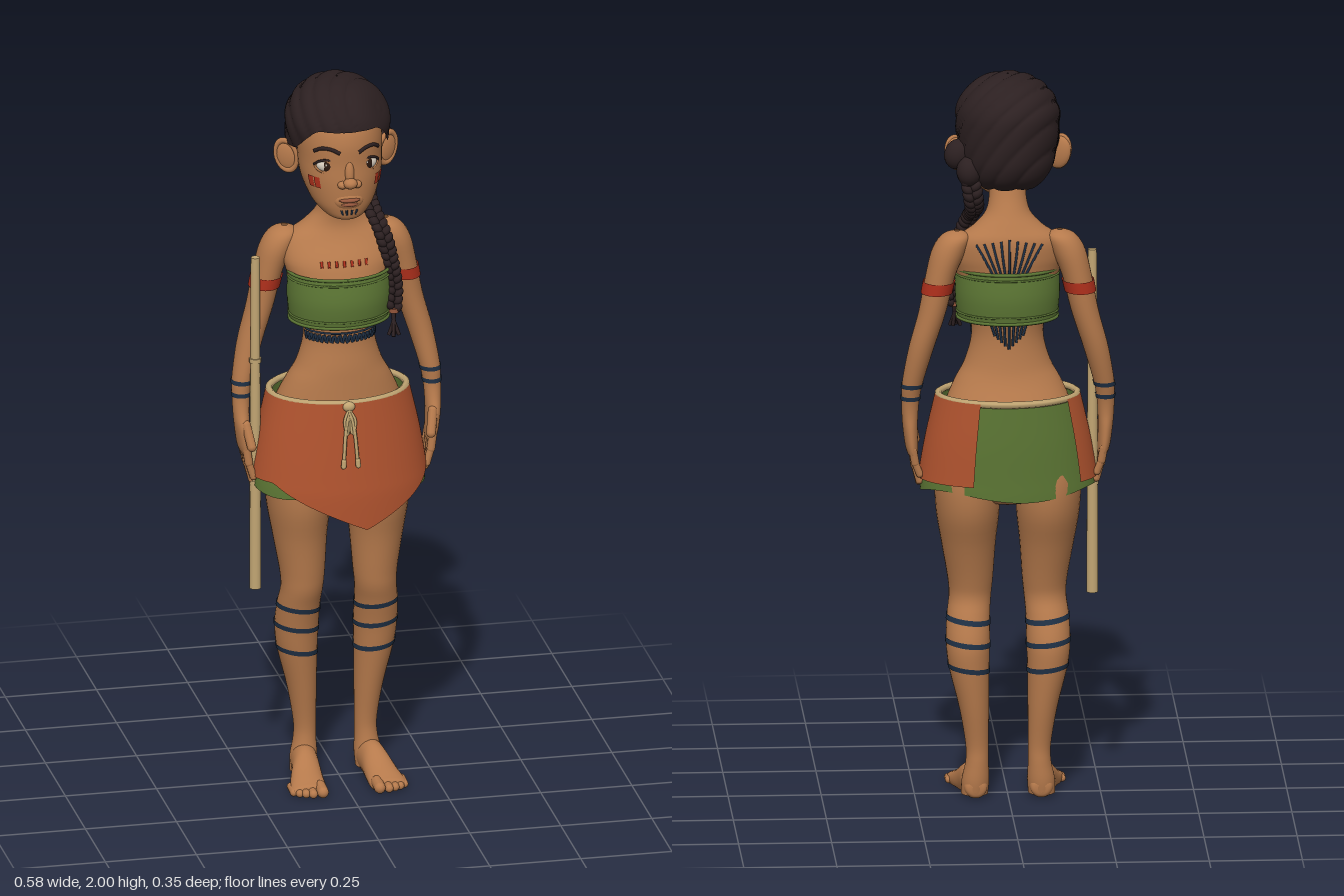
import * as THREE from 'three';

const mat = (name, color, side = THREE.DoubleSide) => {
  const m = new THREE.MeshStandardMaterial({ color, side });
  m.name = name;
  return m;
};
const M = {
  skin: mat('skin', 0xb67a4c), hair: mat('hair', 0x2c2021), skirt: mat('terracotta cloth', 0xb2542f),
  green: mat('green cloth', 0x5c7634), rope: mat('rope and wood', 0xc2a673), red: mat('red paint', 0xb0301c),
  blue: mat('blue ink', 0x1f3045), white: mat('eye white', 0xd9cfc0), lip: mat('lips', 0x94563c), iris: mat('iris', 0x2a1810),
};
const V = (x, y, z) => new THREE.Vector3(x, y, z);
const smooth = (a, b, x) => THREE.MathUtils.smoothstep(x, a, b);

// A body is a stack of ellipses [y, centreX, centreZ, radiusX, radiusZ], bottom to top.
function at(sec, u) {
  const n = sec.length - 1, i = Math.min(Math.floor(u), n - 1), t = u - i;
  const g = k => sec[Math.max(0, Math.min(n, k))];
  const [a, b, c, d] = [g(i - 1), g(i), g(i + 1), g(i + 2)];
  return b.map((p, k) => {
    const m0 = (c[k] - a[k]) / 2, m1 = (d[k] - p) / 2, e = c[k] - p;
    return p + t * (m0 + t * (3 * e - 2 * m0 - m1 + t * (m0 + m1 - 2 * e)));
  });
}
function find(sec, y) {
  let lo = 0, hi = sec.length - 1;
  for (let i = 0; i < 30; i++) {
    const m = (lo + hi) / 2;
    if (at(sec, m)[0] < y) lo = m; else hi = m;
  }
  return (lo + hi) / 2;
}
function pointU(sec, a, u, off) {
  const [y, cx, cz, rx, rz] = at(sec, u);
  return V(cx + (Math.max(rx, 0) + off) * Math.sin(a), y, cz + (Math.max(rz, 0) + off) * Math.cos(a));
}
const point = (sec, a, y, off = 0) => pointU(sec, a, find(sec, y), off);

// Skin of a body between angles a0..a1 (0 = front, + = left) and heights lo..hi
function patch(sec, { lo = -9, hi = 9, a0 = -Math.PI, a1 = Math.PI, off = 0, n = 40, m = 36 } = {}) {
  const f = v => (typeof v === 'function' ? v : () => v);
  const closed = a1 - a0 > 6.28, cols = closed ? n : n + 1, pos = [], idx = [];
  for (let i = 0; i < cols; i++) {
    const a = a0 + (a1 - a0) * i / n, u0 = find(sec, f(lo)(a)), u1 = find(sec, f(hi)(a));
    for (let j = 0; j <= m; j++) pos.push(...pointU(sec, a, u0 + (u1 - u0) * j / m, off).toArray());
  }
  for (let i = 0; i < n; i++) for (let j = 0; j < m; j++) {
    const p = i * (m + 1) + j, q = ((i + 1) % cols) * (m + 1) + j;
    idx.push(p, q, q + 1, p, q + 1, p + 1);
  }
  const g = new THREE.BufferGeometry();
  g.setAttribute('position', new THREE.Float32BufferAttribute(pos, 3));
  g.setIndex(idx);
  g.computeVertexNormals();
  return g;
}
const tube = (pts, r, seg = 24, tension = 0.5) =>
  new THREE.TubeGeometry(new THREE.CatmullRomCurve3(pts, false, 'catmullrom', tension), seg, r, 6);
// Line drawn on a body through [angle, y] pairs
const stroke = (sec, pairs, r, seg, tension) => tube(pairs.map(([a, y]) => point(sec, a, y)), r, seg, tension);
const hoop = (sec, y, r) => stroke(sec, Array.from({ length: 33 }, (_, i) => [i / 16 * Math.PI, y]), r, 64);

const torso = [[.81, 0, -.02, .02, .02], [.83, 0, -.02, .1, .08], [.9, 0, -.02, .175, .115], [1, 0, -.02, .18, .122],
  [1.08, 0, -.02, .172, .112], [1.15, 0, -.006, .143, .095], [1.2, 0, 0, .116, .087], [1.27, 0, 0, .097, .08],
  [1.33, 0, 0, .103, .085], [1.4, 0, 0, .125, .1], [1.46, 0, -.008, .142, .095], [1.5, 0, -.018, .15, .09],
  [1.55, 0, -.034, .138, .074], [1.585, 0, -.034, .092, .06], [1.62, 0, -.025, .06, .052], [1.66, 0, -.012, .05, .048], [1.7, 0, 0, .05, .048]];
const head = [[1.637, 0, .085, .015, .02], [1.646, 0, .08, .045, .047], [1.67, 0, .06, .073, .075], [1.7, 0, .04, .092, .099],
  [1.75, 0, .02, .109, .12], [1.8, 0, .01, .113, .127], [1.86, 0, 0, .115, .136], [1.91, 0, -.01, .105, .128],
  [1.95, 0, -.02, .075, .09], [1.97, 0, -.02, .01, .01]];
const hairCap = [[1.69, 0, -.05, .06, .04], [1.72, 0, -.055, .095, .082], [1.76, 0, -.047, .118, .113], [1.81, 0, -.03, .131, .139],
  [1.87, 0, -.018, .137, .154], [1.91, 0, -.018, .133, .15], [1.945, 0, -.02, .115, .13], [1.972, 0, -.022, .087, .1],
  [1.989, 0, -.024, .053, .062], [1.995, 0, -.024, .024, .028], [1.997, 0, -.024, .002, .002]];
const bandeau = [[1.32, 0, .002, .134, .11], [1.39, 0, .002, .141, .118], [1.465, 0, 0, .138, .108]];
const skirt = [[.74, .0, -.004, .236, .146], [.84, 0, -.006, .236, .148], [.9, 0, -.008, .229, .146], [1, 0, -.012, .212, .142], [1.115, 0, -.015, .186, .135]];
const armOf = s => [[.94, .252, -.018, .004, .01], [.945, .254, -.018, .012, .036], [.97, .258, -.018, .017, .042], [1.02, .262, -.018, .02, .04],
  [1.06, .263, -.024, .022, .03], [1.1, .262, -.03, .024, .027], [1.15, .257, -.036, .028, .033], [1.25, .234, -.05, .034, .04],
  [1.35, .205, -.055, .037, .045], [1.45, .183, -.053, .04, .05], [1.52, .16, -.05, .046, .053], [1.56, .142, -.05, .038, .042],
  [1.575, .138, -.05, .008, .01]].map(r => r.map((v, k) => (k === 1 ? v * s : v)));
const legOf = s => [[.01, .09, -.035, .036, .04], [.05, .088, -.04, .037, .04], [.1, .084, -.045, .031, .034], [.15, .084, -.045, .031, .033],
  [.25, .092, -.045, .04, .047], [.36, .105, -.042, .054, .061], [.43, .108, -.037, .059, .066], [.5, .106, -.018, .058, .063],
  [.55, .101, -.002, .057, .061], [.6, .1, -.002, .061, .067], [.7, .105, -.01, .073, .086], [.8, .108, -.017, .086, .112],
  [.9, .11, -.02, .085, .112], [1, .1, -.02, .07, .09]].map(r => r.map((v, k) => (k === 1 ? v * s : v)));
const footOf = s => [[-.078, .088, -.03, .01, .012], [-.07, .088, -.03, .028, .026], [-.03, .09, -.04, .036, .046], [.02, .095, -.035, .038, .05],
  [.07, .103, -.02, .045, .036], [.12, .109, -.012, .05, .024], [.14, .11, -.011, .044, .018], [.145, .11, -.011, .02, .008]]
  .map(r => r.map((v, k) => (k === 1 ? v * s : v)));

export function createModel() {
  const root = new THREE.Group();
  root.name = 'standingFigure';
  const add = (name, geo, material, parent = root) => {
    const m = new THREE.Mesh(geo, material);
    m.name = name;
    parent.add(m);
    return m;
  };
  const ball = (name, material, p, s, rot = [0, 0, 0]) => {
    const m = add(name, new THREE.SphereGeometry(1, 20, 14), material);
    m.position.set(...p); m.scale.set(...s); m.rotation.set(...rot);
    return m;
  };
  const capsule = (name, material, a, b, r) => {
    const d = b.clone().sub(a), m = add(name, new THREE.CapsuleGeometry(r, d.length(), 6, 10), material);
    m.position.copy(a).addScaledVector(d, .5);
    m.quaternion.setFromUnitVectors(V(0, 1, 0), d.normalize());
  };

  add('torso', patch(torso, { n: 48, m: 64 }), M.skin);
  add('head', patch(head, { n: 48, m: 48 }), M.skin);

  // Arms, hands, legs and feet
  for (const s of [1, -1]) {
    const side = s > 0 ? 'left' : 'right', arm = armOf(s), leg = legOf(s);
    add(side + 'Arm', patch(arm, { n: 28, m: 52 }), M.skin);
    add(side + 'ArmBand', patch(arm, { lo: 1.405, hi: 1.437, off: .004, m: 3 }), M.red);
    for (const y of [1.102, 1.137]) add(side + 'WristStripe', patch(arm, { lo: y, hi: y + .012, off: .002, m: 2 }), M.blue);
    for (let i = 0; i < 4; i++) {
      const z = .012 - i * .02, len = [.085, .1, .093, .07][i];
      capsule(side + 'Finger', M.skin, V(s * .256, .965, z), V(s * .25, .965 - len * .5, z + .003), .0115);
      capsule(side + 'Fingertip', M.skin, V(s * .25, .965 - len * .5, z + .003), V(s * .238, .968 - len, z + .005), .01);
    }
    capsule(side + 'Thumb', M.skin, V(s * .256, 1.03, .01), V(s * .246, .975, .035), .013);

    add(side + 'Leg', patch(leg, { n: 32, m: 56 }), M.skin);
    for (const y of [.355, .425, .485])
      add(side + 'CalfStripe', patch(leg, { lo: a => y + s * .007 * Math.sin(a), hi: a => y + .014 + s * .007 * Math.sin(a), off: .002, m: 2 }), M.blue);
    const foot = patch(footOf(s), { n: 28, m: 32 }).rotateX(Math.PI / 2), p = foot.attributes.position;
    for (let i = 0; i < p.count; i++) p.setY(i, Math.max(p.getY(i), .002));
    foot.computeVertexNormals();
    add(side + 'Foot', foot, M.skin);
    [[.078, .16, .016], [.104, .159, .012], [.122, .152, .0115], [.138, .144, .011], [.152, .132, .0105]].forEach(([x, z, r]) =>
      capsule(side + 'Toe', M.skin, V(s * x, r + .003, z - .04), V(s * x, r, z), r));

    // Ear, eye, brow and cheek paint
    ball(side + 'Ear', M.skin, [s * .137, 1.782, -.03], [.034, .046, .014], [0, s * .5, -s * .25]);
    const rim = add(side + 'EarRim', new THREE.TorusGeometry(.034, .007, 8, 24), M.skin);
    rim.position.set(s * .139, 1.784, -.024); rim.scale.set(.85, 1.25, 1); rim.rotation.set(0, s * .5, -s * .25);
    ball(side + 'Eye', M.white, [s * .057, 1.797, .107], [.027, .018, .014], [0, s * .4, 0]);
    ball(side + 'Iris', M.iris, [s * .056, 1.797, .116], [.0145, .0155, .0065], [0, s * .35, 0]);
    ball(side + 'EyeGlint', M.white, [s * .056 - .005, 1.803, .1225], [.003, .003, .0015]);
    const lid = (pts, r) => tube(pts.map(([x, y, z]) => V(s * x, y, z)), r, 14);
    add(side + 'UpperLash', lid([[.029, 1.795, .118], [.042, 1.812, .121], [.06, 1.816, .118], [.078, 1.81, .106], [.088, 1.798, .092]], .0035), M.hair);
    add(side + 'LowerLid', lid([[.029, 1.793, .118], [.044, 1.781, .12], [.06, 1.778, .115], [.078, 1.784, .103], [.087, 1.795, .093]], .003), M.skin);
    add(side + 'Brow', stroke(head, [[s * .22, 1.838], [s * .42, 1.848], [s * .65, 1.848], [s * .86, 1.836]], .0055), M.hair);
    for (const a of [.74, .93])
      add(side + 'CheekPaint', patch(head, { a0: s * a + (s < 0 ? -.16 : 0), a1: s * a + (s < 0 ? 0 : .16), lo: 1.734, hi: 1.764, off: .003, n: 6, m: 4 }), M.red);
    ball(side + 'Nostril', M.skin, [s * .02, 1.749, .138], [.013, .011, .014]);
  }

  // Nose, mouth and chin marks
  ball('noseBridge', M.skin, [0, 1.783, .134], [.013, .036, .013], [-.18, 0, 0]);
  ball('noseTip', M.skin, [0, 1.755, .147], [.019, .015, .019]);
  ball('muzzle', M.skin, [0, 1.7, .122], [.042, .028, .022]);
  ball('upperLip', M.lip, [0, 1.704, .138], [.029, .0065, .012]);
  ball('lowerLip', M.lip, [0, 1.692, .136], [.024, .0075, .012]);
  for (const a of [-.28, -.1, .1, .28]) add('chinMark', stroke(head, [[a, 1.66], [a, 1.675]], .003, 4), M.blue);

  // Swept hair with diagonal strand ridges
  const cap = patch(hairCap, { lo: a => 1.897 - .075 * smooth(.55, 1.3, Math.abs(a)) - .12 * smooth(1.5, 2.2, Math.abs(a)), n: 120, m: 60 });
  const hp = cap.attributes.position, hn = cap.attributes.normal;
  for (let i = 0; i < hp.count; i++) {
    const [x, y, z] = [hp.getX(i), hp.getY(i), hp.getZ(i)];
    const d = .006 * Math.pow(Math.abs(Math.sin(72 * (.75 * x + .45 * z + .6 * y + .6 * x * z))), .6) - .001;
    hp.setXYZ(i, x + hn.getX(i) * d, y + hn.getY(i) * d, z + hn.getZ(i) * d);
  }
  cap.computeVertexNormals();
  add('hair', cap, M.hair);
  ball('hairRoll', M.hair, [.137, 1.79, -.065], [.036, .042, .034], [0, 0, .3]);
  ball('hairGather', M.hair, [.108, 1.75, -.095], [.034, .042, .038]);

  // Side braid made of alternating plump strands
  const braid = new THREE.CatmullRomCurve3([V(.108, 1.75, -.095), V(.097, 1.68, -.098), V(.092, 1.64, -.06), V(.097, 1.61, -.005),
    V(.115, 1.56, .03), V(.132, 1.49, .036), V(.145, 1.41, .036), V(.14, 1.36, .05)]);
  const N = 23;
  for (let i = 0; i <= N; i++) {
    const p = braid.getPointAt(i / N), r = .021 - .005 * i / N;
    for (const s of [1, -1])
      ball('braidStrand', M.hair, [p.x + s * .011, p.y - (s > 0 ? .009 : 0), p.z], [r * .72, r * .95, r], [0, 0, -s * .6]);
  }
  add('braidTie', new THREE.CylinderGeometry(.014, .014, .012, 12), M.lip).position.set(.14, 1.345, .053);
  for (const [x, z] of [[.122, .07], [.132, .085], [.142, .066], [.15, .075]])
    add('braidTail', tube([V(.14, 1.35, .052), V(.138, 1.32, .06), V(x, 1.28, z)], .005, 8), M.hair);

  // Chest wrap
  add('chestWrap', patch(bandeau, { n: 48, m: 10 }), M.green);
  for (const [y, r] of [[1.325, .005], [1.342, .003], [1.445, .003], [1.461, .005]]) add('chestWrapFold', hoop(bandeau, y, r), M.green);

  // Skirt, overskirt with a pointed front, and rope belt
  add('underskirt', patch(skirt, { lo: a => .853 + .012 * Math.sin(3 * a + 1), n: 64, m: 16 }), M.green);
  add('overskirt', patch(skirt, { a0: -2.22, a1: 2.72, off: .009, n: 80, m: 16,
    lo: a => .885 - .13 * Math.max(0, 1 - Math.abs(a - .19) / 1.15) }), M.skirt);
  add('ropeBelt', hoop(skirt, 1.113, .01), M.rope);
  ball('ropeKnot', M.rope, [0, 1.106, .128], [.017, .014, .012]);
  for (const s of [1, -1]) {
    add('ropeEnd', tube([V(0, 1.1, .133), V(s * .012, 1.04, .146), V(s * .019, .955, .154)], .005, 12), M.rope);
    capsule('ropeTassel', M.rope, V(s * .019, .96, .154), V(s * .02, .945, .155), .007);
    add('ropeLoop', tube([V(0, 1.1, .133), V(s * .015, 1.07, .143), V(s * .006, 1.03, .146), V(0, 1.1, .135)], .004, 16), M.rope);
  }

  // Body ink: waist zigzag, chest dashes and back fans
  add('waistZigzag', stroke(torso, Array.from({ length: 37 }, (_, i) => [-1.35 + i * .075, i % 2 ? 1.272 : 1.294]), .0045, 180, .05), M.blue);
  add('waistLine', stroke(torso, Array.from({ length: 13 }, (_, i) => [-1.35 + i * .225, 1.299]), .003, 40), M.blue);
  for (let i = -3; i <= 3; i++) add('chestDash', stroke(torso, [[i * .14, 1.487], [i * .14, 1.503]], .004, 4), M.red);
  for (let i = -4; i <= 4; i++) {
    add('upperBackInk', stroke(torso, [[Math.PI + i * .07, 1.45], [Math.PI + i * .12, 1.51], [Math.PI + i * .17, 1.56 - .004 * Math.abs(i)]], .0035, 10), M.blue);
    add('lowerBackInk', stroke(torso, [[Math.PI + i * .13, 1.33], [Math.PI + i * .1, 1.25 + .009 * Math.abs(i)]], .0035, 10), M.blue);
  }

  // Wooden staff held in the right hand
  const staff = add('staff', new THREE.CylinderGeometry(.012, .016, .95, 14), M.rope);
  staff.position.set(-.228, 1.03, -.004);
  for (const y of [.86, 1.21]) add('staffNode', new THREE.CylinderGeometry(.0165, .0165, .012, 14), M.rope).position.set(-.228, y, -.004);
  return root;
}
